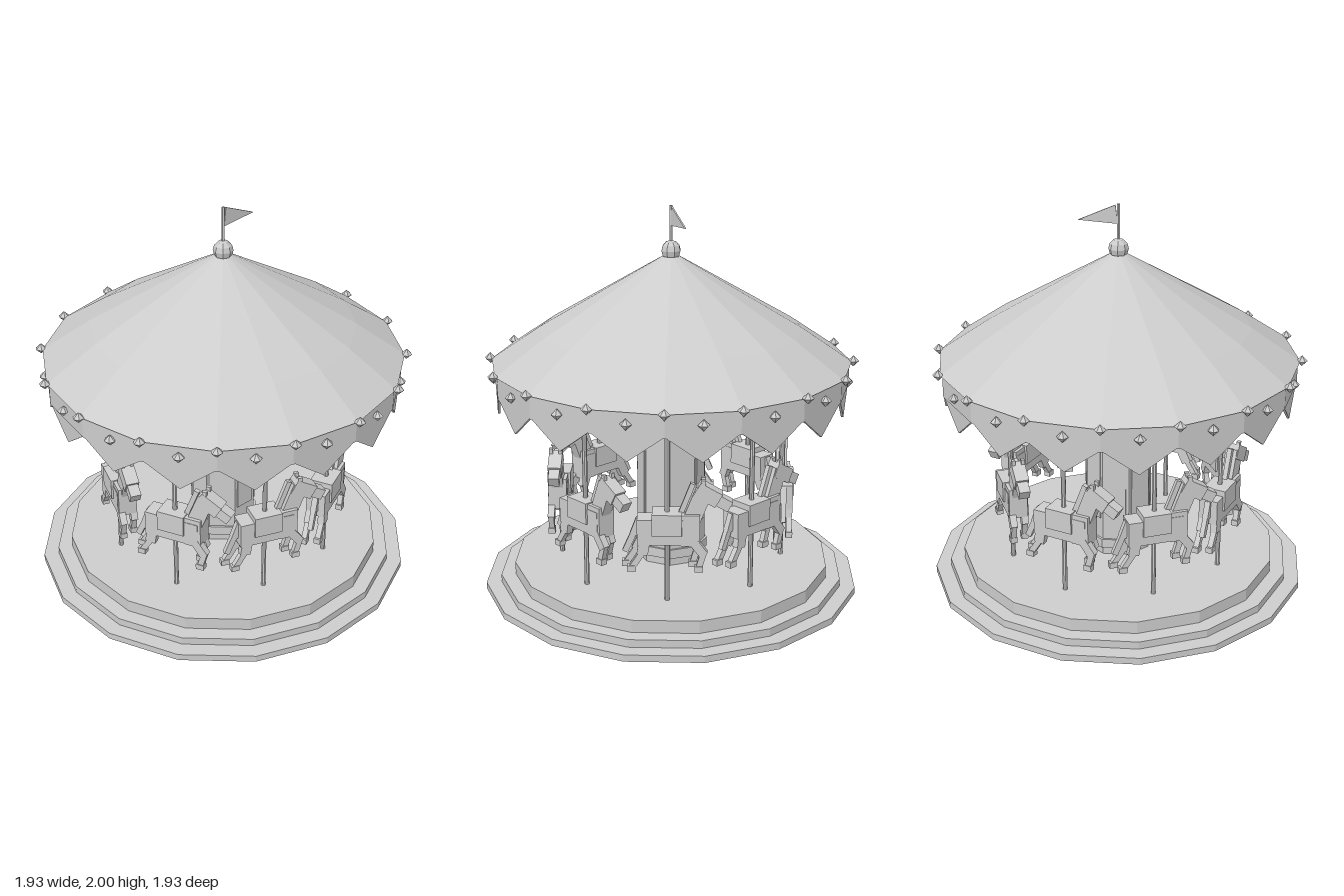
import * as THREE from 'three';

const grey = new THREE.MeshStandardMaterial({ color: 0xcccccc, flatShading: true });
grey.name = 'plain grey';

function add(parent, name, geometry, x = 0, y = 0, z = 0) {
  const mesh = new THREE.Mesh(geometry, grey);
  mesh.name = name;
  mesh.position.set(x, y, z);
  parent.add(mesh);
  return mesh;
}

// Faceted drum between two heights; turn = 0 puts a corner at the front
function drum(parent, name, rTop, rBottom, y0, y1, sides, turn = 0) {
  const geometry = new THREE.CylinderGeometry(rTop, rBottom, y1 - y0, sides);
  return add(parent, name, geometry.rotateY(turn), 0, (y0 + y1) / 2, 0);
}

// Box stretched between two points in the horse's side plane
function limb(parent, name, [x0, y0], [x1, y1], thick, width, z = 0) {
  const length = Math.hypot(x1 - x0, y1 - y0);
  const mesh = add(parent, name, new THREE.BoxGeometry(length, thick, width), (x0 + x1) / 2, (y0 + y1) / 2, z);
  mesh.rotation.z = Math.atan2(y1 - y0, x1 - x0);
  return mesh;
}

function box(parent, name, w, h, d, x, y, z = 0) {
  return add(parent, name, new THREE.BoxGeometry(w, h, d), x, y, z);
}

// Thin plate extruded from a triangle
function plate(points, depth) {
  const shape = new THREE.Shape(points.map(([x, y]) => new THREE.Vector2(x, y)));
  return new THREE.ExtrudeGeometry(shape, { depth, bevelEnabled: false }).translate(0, 0, -depth / 2);
}

// Galloping horse heading along +x, with its pole at x = 0
function createHorse() {
  const horse = new THREE.Group();
  horse.name = 'horse';
  box(horse, 'body', 0.29, 0.13, 0.1, 0, 0.515);
  box(horse, 'chest', 0.09, 0.16, 0.095, 0.115, 0.525);
  box(horse, 'saddle', 0.145, 0.11, 0.12, 0, 0.555);
  limb(horse, 'neck', [0.11, 0.55], [0.18, 0.73], 0.085, 0.06);
  limb(horse, 'mane', [0.062, 0.59], [0.125, 0.755], 0.025, 0.025);
  limb(horse, 'head', [0.145, 0.735], [0.25, 0.675], 0.075, 0.068);
  limb(horse, 'muzzle', [0.22, 0.69], [0.305, 0.643], 0.055, 0.055);
  limb(horse, 'tail', [-0.135, 0.57], [-0.165, 0.49], 0.035, 0.03);
  limb(horse, 'tailTip', [-0.16, 0.505], [-0.205, 0.4], 0.03, 0.025);
  for (const side of [-1, 1]) {
    const z = side * 0.032;
    const shift = side * 0.015;
    box(horse, 'ear', 0.022, 0.045, 0.018, 0.175, 0.758, side * 0.024);
    // Front leg, bent at the knee
    limb(horse, 'frontThigh', [0.12, 0.48], [0.165 + shift, 0.4], 0.045, 0.035, z);
    limb(horse, 'frontShin', [0.165 + shift, 0.415], [0.14 + shift, 0.33], 0.03, 0.028, z);
    box(horse, 'frontHoof', 0.042, 0.03, 0.035, 0.14 + shift, 0.325, z);
    // Rear leg, stretched back
    limb(horse, 'rearThigh', [-0.105, 0.49], [-0.135 + shift, 0.4], 0.055, 0.035, z);
    limb(horse, 'rearShin', [-0.13 + shift, 0.415], [-0.185 + shift, 0.33], 0.03, 0.028, z);
    box(horse, 'rearHoof', 0.042, 0.03, 0.035, -0.187 + shift, 0.325, z);
  }
  return horse;
}

export function createModel() {
  const model = new THREE.Group();
  model.name = 'carousel';
  const step = Math.PI / 8;

  // Stepped base
  drum(model, 'lowerStep', 0.984, 0.984, 0, 0.035, 16, step / 2);
  drum(model, 'middleStep', 0.905, 0.905, 0.035, 0.075, 16, step / 2);
  drum(model, 'platform', 0.83, 0.83, 0.075, 0.14, 16, step / 2);

  // Eight-sided centre column with panels
  drum(model, 'column', 0.178, 0.178, 0.14, 1.1, 8, step);
  drum(model, 'columnFoot', 0.19, 0.19, 0.18, 0.23, 8, step);
  drum(model, 'columnCapital', 0.2, 0.2, 1.045, 1.095, 8, step);
  for (let i = 0; i < 8; i++) {
    const holder = new THREE.Group();
    holder.name = 'columnPanelHolder';
    holder.rotation.y = i * Math.PI / 4;
    box(holder, 'columnPanel', 0.105, 0.6, 0.009, 0, 0.647, 0.165);
    model.add(holder);
  }

  // Horses on poles
  for (let i = 0; i < 8; i++) {
    const mount = new THREE.Group();
    mount.name = 'mount';
    mount.rotation.y = (i + 0.5) * Math.PI / 4;
    const horse = createHorse();
    horse.position.z = 0.583;
    mount.add(horse);
    add(mount, 'pole', new THREE.CylinderGeometry(0.0125, 0.0125, 0.96, 8), 0, 0.62, 0.583);
    model.add(mount);
  }

  // Canopy
  drum(model, 'canopyBand', 0.91, 0.91, 1.09, 1.207, 16);
  drum(model, 'lowerRoof', 0.67, 0.922, 1.207, 1.378, 16);
  drum(model, 'upperRoof', 0.045, 0.67, 1.378, 1.745, 16);

  // Hanging pennants and two rows of bulbs around the rim
  const pennant = plate([[-0.176, 1.095], [0, 0.965], [0.176, 1.095]], 0.012);
  const bulb = new THREE.SphereGeometry(0.029, 6, 2);
  for (let i = 0; i < 16; i++) {
    const bay = new THREE.Group();
    bay.name = 'rimBay';
    bay.rotation.y = (i + 0.5) * step;
    add(bay, 'pennant', pennant, 0, 0, 0.884);
    add(bay, 'lowerBulb', bulb, 0, 1.15, 0.905);
    model.add(bay);
    const a = i * step;
    add(model, 'upperBulb', bulb, Math.sin(a) * 0.93, 1.21, Math.cos(a) * 0.93);
  }

  // Finial and flag
  add(model, 'finial', new THREE.SphereGeometry(0.051, 8, 6), 0, 1.775, 0);
  drum(model, 'flagPole', 0.008, 0.008, 1.78, 2, 6);
  add(model, 'flag', plate([[0.004, 1.9], [0.2, 1.916], [0.015, 1.995]], 0.008));

  return model;
}
